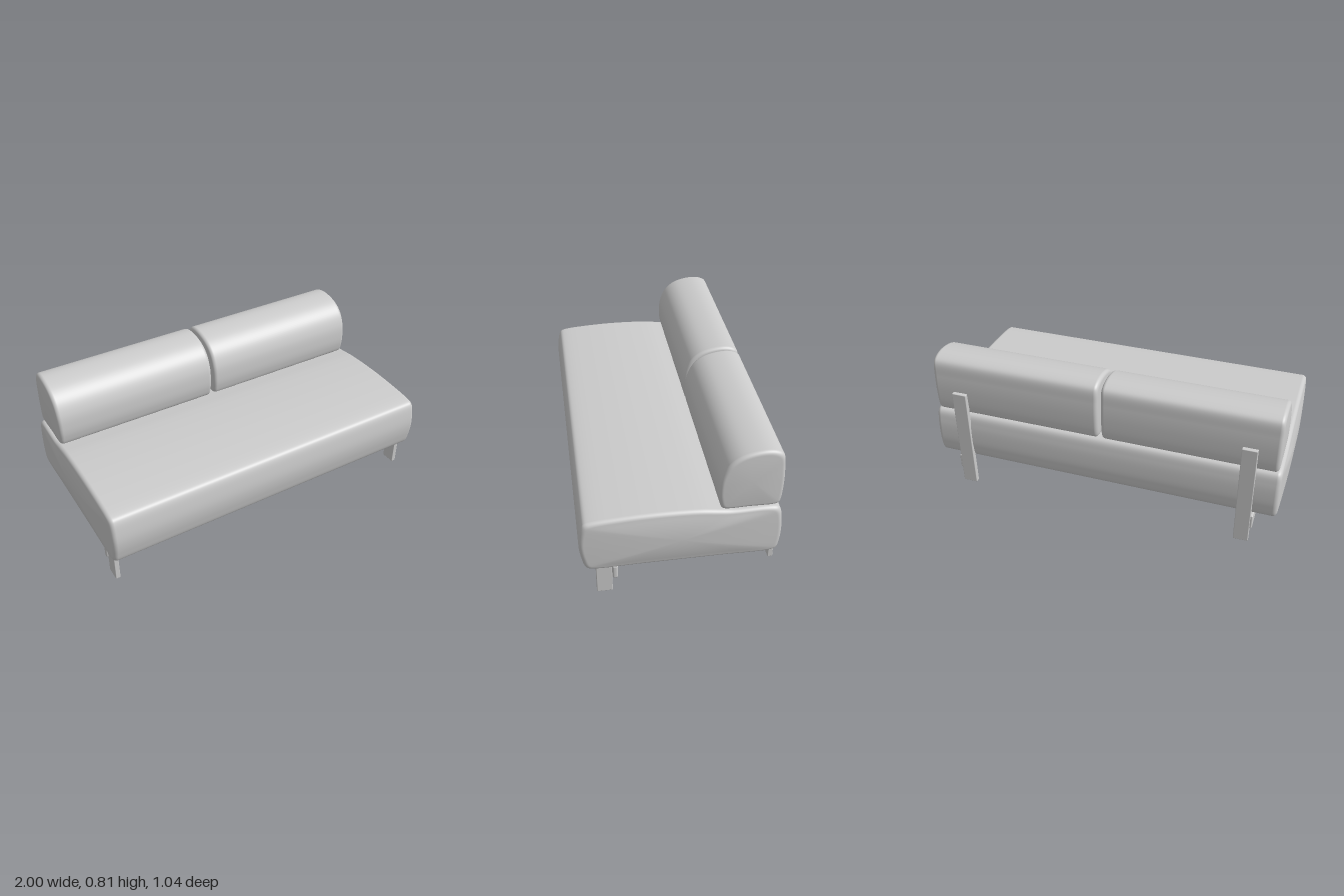
import * as THREE from 'three';
import { RoundedBoxGeometry } from 'three/addons/geometries/RoundedBoxGeometry.js';

const material = new THREE.MeshStandardMaterial({ color: 0xcccccc });

// Soft cushion: a closed (z, y) section swept along x, with rounded and slightly domed ends.
function cushionGeometry(section, width, radius, dome) {
  const curve = new THREE.CatmullRomCurve3(
    section.map(([z, y]) => new THREE.Vector3(0, y, z)), true, 'centripetal');
  const N = 120;
  const outline = curve.getPoints(N).slice(0, N);
  const box = new THREE.Box3().setFromPoints(outline);
  const c = box.getCenter(new THREE.Vector3());
  const half = box.getSize(new THREE.Vector3()).multiplyScalar(0.5);

  // Rings of one end, from the middle of the dome outwards: [x, inset, scale]
  const end = [];
  for (let i = 0; i < 10; i++) {
    const s = i / 10;
    end.push([width / 2 - dome * s * s, radius, s]);
  }
  for (let i = 0; i <= 8; i++) {
    const a = (i / 8) * Math.PI / 2;
    end.push([width / 2 - dome - radius * (1 - Math.cos(a)), radius * (1 - Math.sin(a)), 1]);
  }
  const rings = [
    ...end.map(([x, inset, s]) => [-x, inset, s]),
    ...end.slice().reverse(),
  ];

  const positions = [], index = [];
  rings.forEach(([x, inset, s], i) => {
    const sy = s * (1 - inset / half.y), sz = s * (1 - inset / half.z);
    outline.forEach((p, j) => {
      positions.push(x, c.y + (p.y - c.y) * sy, c.z + (p.z - c.z) * sz);
      if (i === rings.length - 1) return;
      const k = (j + 1) % N;
      const a = i * N + j, b = a + N, d = i * N + k, e = d + N;
      index.push(a, b, e, a, e, d);
    });
  });
  const geometry = new THREE.BufferGeometry();
  geometry.setAttribute('position', new THREE.Float32BufferAttribute(positions, 3));
  geometry.setIndex(index);
  geometry.computeVertexNormals();
  return geometry;
}

export function createModel() {
  const model = new THREE.Group();
  model.name = 'sofa';

  function add(name, geometry, x = 0, y = 0, z = 0) {
    const mesh = new THREE.Mesh(geometry, material);
    mesh.name = name;
    mesh.position.set(x, y, z);
    model.add(mesh);
  }

  // Bar given by its limits on each axis
  function bar(name, [x0, x1], [y0, y1], [z0, z1], radius) {
    add(name, new RoundedBoxGeometry(x1 - x0, y1 - y0, z1 - z0, 3, radius),
      (x0 + x1) / 2, (y0 + y1) / 2, (z0 + z1) / 2);
  }

  // Seat cushion with a crowned top
  const seat = [
    [-0.46, 0.177], [-0.2, 0.177], [0.2, 0.177], [0.46, 0.177], [0.49, 0.188],
    [0.51, 0.25], [0.52, 0.33], [0.515, 0.4], [0.503, 0.455], [0.49, 0.474],
    [0.46, 0.484], [0.3, 0.498], [0.12, 0.503], [-0.08, 0.496], [-0.18, 0.483],
    [-0.25, 0.475], [-0.45, 0.474], [-0.485, 0.458], [-0.5, 0.4], [-0.505, 0.32],
    [-0.502, 0.25], [-0.488, 0.19],
  ];
  add('seatCushion', cushionGeometry(seat, 2, 0.025, 0.018));

  // Two back cushions, rounded over at the front
  const back = [
    [-0.465, 0.475], [-0.33, 0.475], [-0.21, 0.475], [-0.192, 0.483], [-0.178, 0.53],
    [-0.174, 0.59], [-0.183, 0.668], [-0.219, 0.744], [-0.28, 0.791], [-0.389, 0.814],
    [-0.455, 0.803], [-0.483, 0.78], [-0.494, 0.7], [-0.497, 0.61], [-0.49, 0.505],
    [-0.482, 0.483],
  ];
  const backGeometry = cushionGeometry(back, 0.972, 0.022, 0.008);
  add('backCushionLeft', backGeometry, 0.486);
  add('backCushionRight', backGeometry, -0.486);

  // Frame rail along the front
  bar('frontRail', [-0.97, 0.97], [0.09, 0.177], [0.33, 0.36], 0.012);

  // Side rails, front legs and tall back posts
  for (const [side, s] of [['Left', 1], ['Right', -1]]) {
    const span = (a, b) => (s > 0 ? [a, b] : [-b, -a]);
    bar('sideRail' + side, span(0.832, 0.862), [0.09, 0.177], [-0.512, 0.33], 0.006);
    bar('frontLeg' + side, span(0.935, 0.962), [0, 0.18], [0.36, 0.442], 0.004);
    bar('backPost' + side, span(0.768, 0.85), [0, 0.613], [-0.518, -0.49], 0.004);
  }

  return model;
}
